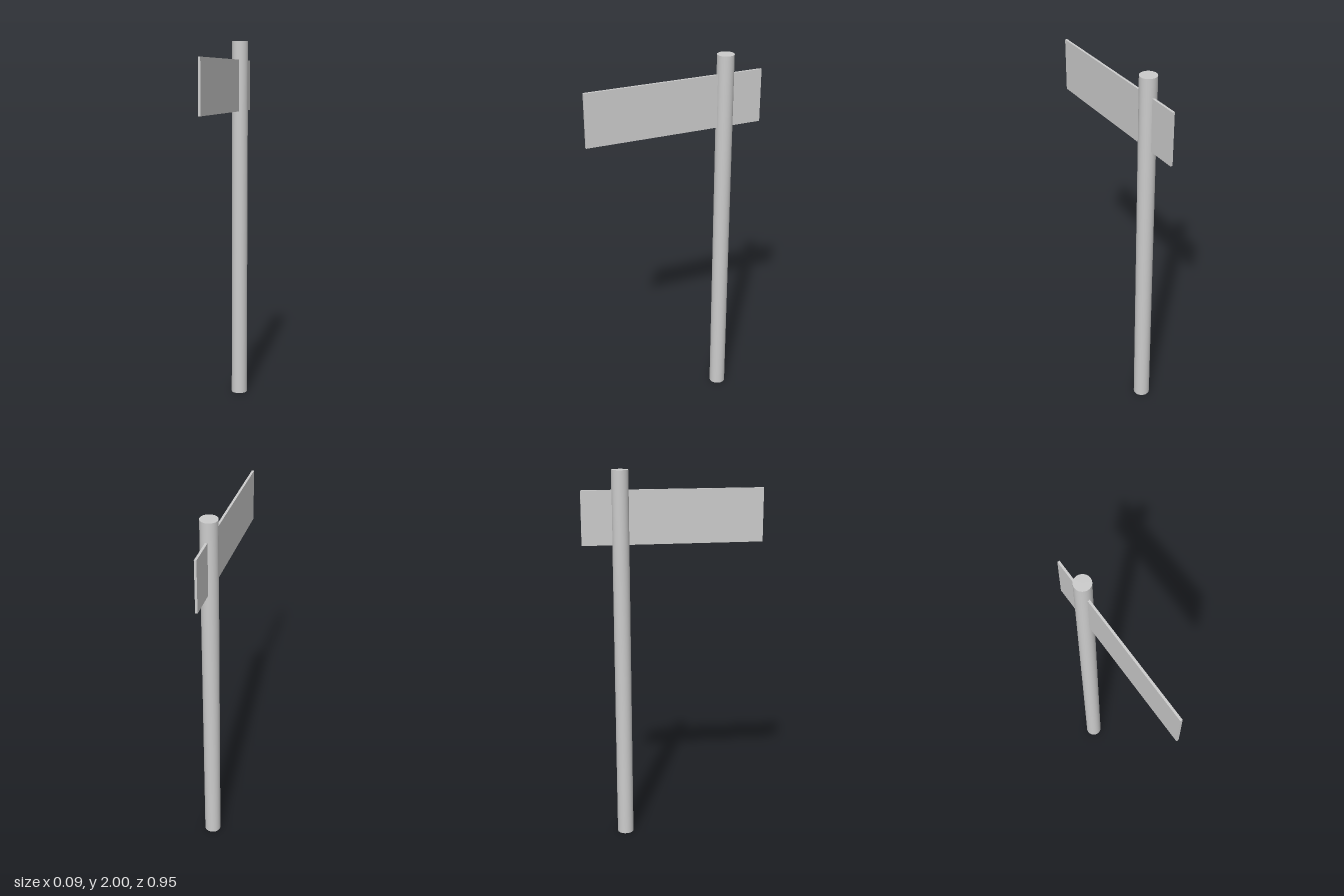
import * as THREE from 'three';

export function createModel() {
  const model = new THREE.Group();
  model.name = 'signpost';

  const metal = new THREE.MeshStandardMaterial({ color: 0xcccccc });
  metal.name = 'light grey metal';

  // Round upright post, set towards the back
  const post = new THREE.Mesh(new THREE.CylinderGeometry(0.044, 0.044, 2, 32), metal);
  post.name = 'post';
  post.position.set(0, 1, -0.272);
  model.add(post);

  // Thin sign panel passing through the post, longer towards the front
  const panel = new THREE.Mesh(new THREE.BoxGeometry(0.012, 0.28, 0.946), metal);
  panel.name = 'signPanel';
  panel.position.set(0, 1.76, 0);
  model.add(panel);

  return model;
}
